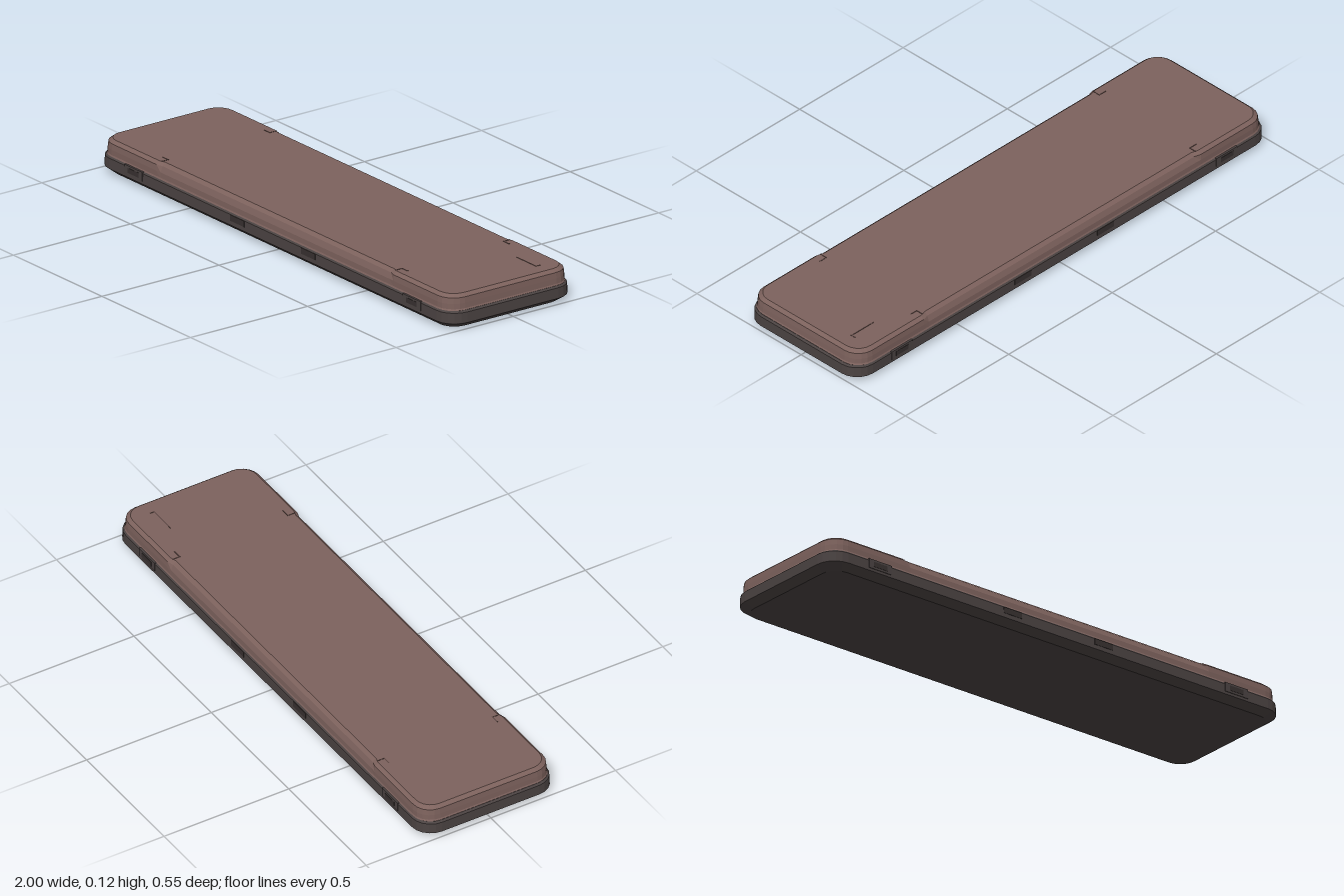
import * as THREE from 'three';

const mat = (name, color, extra = {}) => {
  const m = new THREE.MeshStandardMaterial({ color, ...extra });
  m.name = name;
  return m;
};

// Rounded rectangle outline; inset pulls in the middle of both long sides
function outline(hx, hz, r, inset) {
  const pts = [];
  const corner = (sx, sz, start) => {
    for (let i = 0; i <= 5; i++) {
      const a = start + (i / 5) * Math.PI / 2;
      pts.push([sx * (hx - r) + r * Math.cos(a), sz * (hz - r) + r * Math.sin(a)]);
    }
  };
  const notch = s => {
    for (const [x, d] of [[0.67, 0], [0.645, inset], [-0.645, inset], [-0.67, 0]]) pts.push([s * x, s * (hz - d)]);
  };
  corner(1, 1, 0);
  notch(1);
  corner(-1, 1, Math.PI / 2);
  corner(-1, -1, Math.PI);
  notch(-1);
  corner(1, -1, Math.PI * 1.5);
  return pts;
}

// Stack of outlines [y, halfX, halfZ, radius, inset], capped at both ends, faceted
function shell(levels) {
  const rings = levels.map(([y, hx, hz, r, inset = 0]) => outline(hx, hz, r, inset).map(([x, z]) => [x, y, z]));
  const pos = [];
  const tri = (...p) => p.forEach(v => pos.push(...v));
  const n = rings[0].length, last = rings.length - 1;
  for (let i = 0; i < n; i++) {
    const j = (i + 1) % n;
    for (let k = 0; k < last; k++) {
      const [lo, hi] = [rings[k], rings[k + 1]];
      tri(lo[i], hi[i], hi[j]);
      tri(lo[i], hi[j], lo[j]);
    }
    tri([0, levels[0][0], 0], rings[0][i], rings[0][j]);
    tri([0, levels[last][0], 0], rings[last][j], rings[last][i]);
  }
  const g = new THREE.BufferGeometry();
  g.setAttribute('position', new THREE.Float32BufferAttribute(pos, 3));
  g.computeVertexNormals();
  return g;
}

export function createModel() {
  const model = new THREE.Group();
  model.name = 'slimCase';
  const lidMat = mat('dusty brown', 0x7d625d);
  const baseMat = mat('charcoal', 0x4b4342);
  const darkMat = mat('dark charcoal', 0x383130);
  const seamMat = mat('seam brown', 0x5c4743);

  const add = (name, geo, material, x = 0, y = 0, z = 0, parent = model) => {
    const m = new THREE.Mesh(geo, material);
    m.name = name;
    m.position.set(x, y, z);
    parent.add(m);
    return m;
  };
  const box = (name, w, h, d, material, x, y, z, parent) =>
    add(name, new THREE.BoxGeometry(w, h, d), material, x, y, z, parent);

  // Lower tray with chamfered underside
  add('base', shell([
    [0, 0.97, 0.243, 0.06],
    [0.022, 1.0, 0.27, 0.075],
    [0.06, 0.999, 0.269, 0.075],
    [0.066, 0.992, 0.264, 0.07],
  ]), baseMat);

  // Lid, slightly narrower, with a wider bevel between the end caps
  add('lid', shell([
    [0.064, 0.992, 0.265, 0.07],
    [0.071, 0.988, 0.262, 0.068],
    [0.09, 0.987, 0.262, 0.067, 0.001],
    [0.111, 0.985, 0.26, 0.066, 0.007],
    [0.122, 0.972, 0.247, 0.058, 0.007],
  ]), lidMat);

  // Latches and clips along both long sides
  for (const s of [1, -1]) {
    const side = new THREE.Group();
    side.name = s > 0 ? 'frontLatches' : 'backLatches';
    model.add(side);
    for (const x of [-0.785, 0.785]) {
      box('latchFrame', 0.1, 0.034, 0.008, baseMat, x, 0.049, s * 0.268, side);
      box('latchSlot', 0.06, 0.018, 0.005, darkMat, x, 0.049, s * 0.2705, side);
    }
    for (const x of [-0.2, 0.2]) {
      box('clip', 0.08, 0.022, 0.005, darkMat, x, 0.049, s * 0.2685, side);
    }
  }

  // Fine seams on the lid where the end caps begin
  const top = 0.1221;
  for (const sx of [1, -1]) for (const sz of [1, -1]) {
    box('capSeam', 0.004, 0.002, 0.028, seamMat, sx * 0.66, top, sz * 0.231);
    box('capSeamFoot', 0.034, 0.002, 0.004, seamMat, sx * 0.675, top, sz * 0.217);
  }
  // Small angled score near one end
  box('scoreLine', 0.11, 0.002, 0.004, seamMat, 0.865, top, -0.16);
  box('scoreTick', 0.004, 0.002, 0.018, seamMat, 0.918, top, -0.169);

  return model;
}
